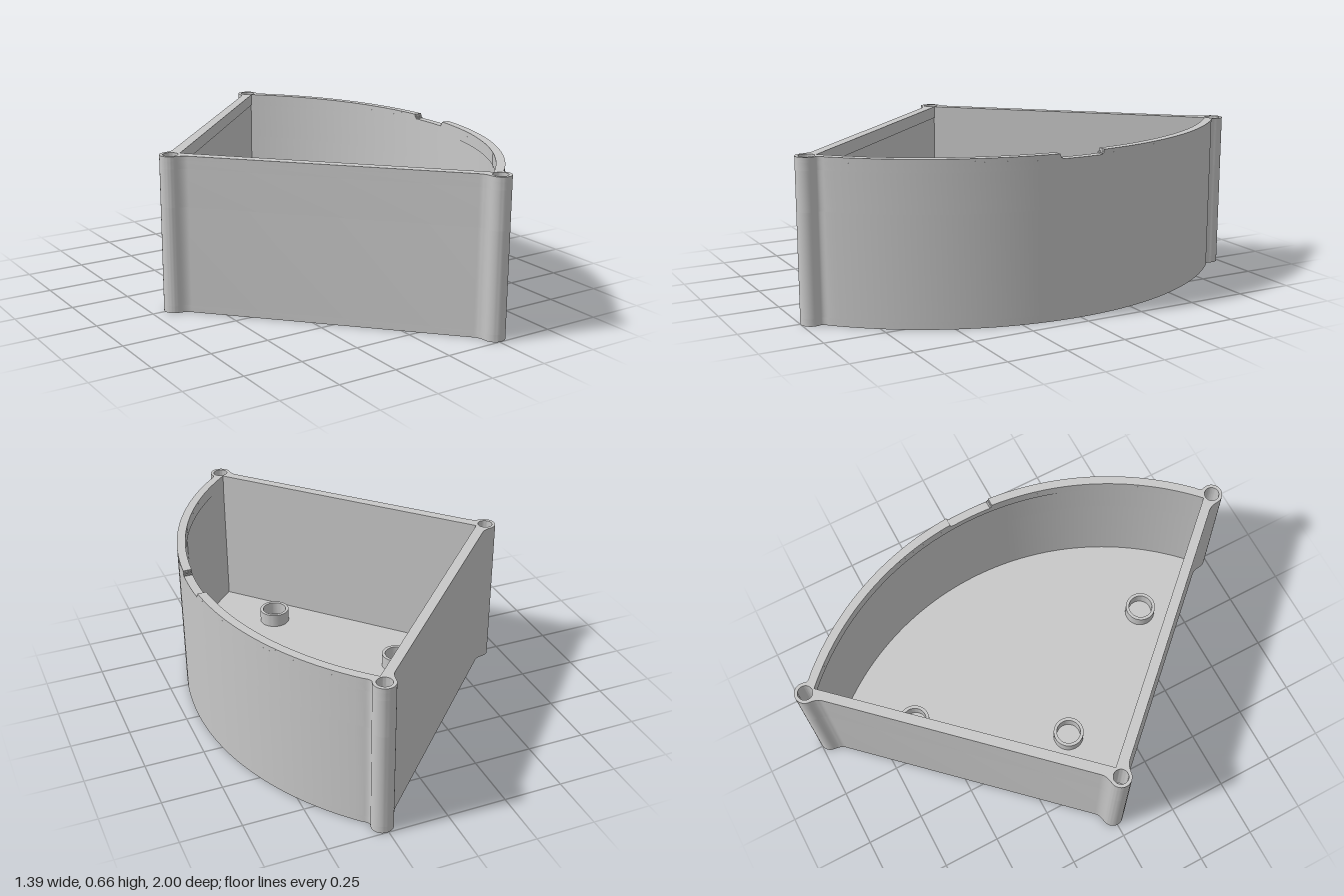
import * as THREE from 'three';
import { toCreasedNormals } from 'three/addons/utils/BufferGeometryUtils.js';

const V = (x, y) => new THREE.Vector2(x, y);
const APEX = V(-0.649, 0);                 // centre of the apex post
const CORNER = V(0.258, 0.955);            // centre of a corner post
const ARC_X = -0.588, R_OUT = 1.282, R_IN = 1.246;
const POST_R = 0.045, HOLE_R = 0.031;
const HEIGHT = 0.662, NOTCH = 0.1, NOTCH_DEPTH = 0.02;
const LENGTH = APEX.distanceTo(CORNER);
const DIR = CORNER.clone().sub(APEX).normalize();
const WALL = Math.atan2(DIR.y, DIR.x);
const FACE = 0.013;                        // outer wall face, outward of the post centres

// Point at distance s along the straight wall and o outward from it
const onWall = (s, o) => V(APEX.x + DIR.x * s - DIR.y * o, DIR.y * s + DIR.x * o);

function arc(cx, cy, r, from, to, n) {
  return Array.from({ length: n + 1 }, (_, i) => {
    const a = from + (to - from) * i / n;
    return V(cx + r * Math.cos(a), cy + r * Math.sin(a));
  });
}

const fillet = (a, b, c) => new THREE.QuadraticBezierCurve(a, b, c).getPoints(6).slice(1, -1);

// Half of the outer outline, from the apex to the curved wall at z = end
function outerHalf(end) {
  const deg = Math.PI / 180;
  const apex = arc(APEX.x, 0, POST_R, Math.PI, WALL + 50 * deg, 10);
  const corner = arc(CORNER.x, CORNER.y, POST_R, WALL + 130 * deg, -25 * deg, 20);
  const curve = arc(ARC_X, 0, R_OUT, Math.asin(0.905 / R_OUT), Math.asin(end / R_OUT), 32);
  const w0 = onWall(0.078, FACE), w1 = onWall(LENGTH - 0.078, FACE);
  return [
    ...apex, ...fillet(apex.at(-1), onWall(0.054, FACE), w0), w0,
    w1, ...fillet(w1, onWall(LENGTH - 0.054, FACE), corner[0]),
    ...corner, ...fillet(corner.at(-1), V(0.296, 0.922), curve[0]), ...curve,
  ];
}

// Half of the cavity outline, enlarged by g
function innerHalf(end, g) {
  const r = R_IN + g;
  return [V(-0.606 - g / DIR.y, 0),
    ...arc(ARC_X, 0, r, Math.atan2(0.915, 0.846) + g / r, Math.asin(end / r), 32)];
}

// Mirror a half outline, running from -z round the apex to +z
function mirrored(half, closed) {
  const other = half.slice(1, closed ? -1 : undefined).reverse().map(p => V(p.x, -p.y));
  return [...other, ...half];
}

function circlePath(x, z, r) {
  return new THREE.Path().absarc(x, z, r, 0, Math.PI * 2);
}

function slab(name, shape, y0, y1, material) {
  const geo = new THREE.ExtrudeGeometry(shape, { depth: y1 - y0, bevelEnabled: false, curveSegments: 24 });
  geo.rotateX(-Math.PI / 2);
  geo.translate(0, y0, 0);
  const mesh = new THREE.Mesh(toCreasedNormals(geo, 0.6), material);
  mesh.name = name;
  return mesh;
}

export function createModel() {
  const group = new THREE.Group();
  group.name = 'sectorBox';
  const grey = new THREE.MeshStandardMaterial({ color: 0xc8c8c8 });
  grey.name = 'grey plastic';

  const posts = [[APEX.x, 0], [CORNER.x, CORNER.y], [CORNER.x, -CORNER.y]];
  const drill = s => posts.forEach(([x, z]) => s.holes.push(circlePath(x, z, HOLE_R)));
  const outline = mirrored(outerHalf(0), true);
  const wallShape = (g, holes) => {
    const s = new THREE.Shape(outline);
    // The cavity runs opposite to the outline so its walls face inward
    s.holes.push(new THREE.Path(mirrored(innerHalf(0, g), true).reverse()));
    if (holes) drill(s);
    return s;
  };

  // Floor, walls and slightly thicker lip, with blind screw holes in the posts
  const rimBase = HEIGHT - NOTCH_DEPTH;
  group.add(slab('floor', new THREE.Shape(outline), 0, 0.03, grey));
  group.add(slab('lowerWall', wallShape(0.003, false), 0.03, 0.45, grey));
  group.add(slab('upperWall', wallShape(0.003, true), 0.45, 0.61, grey));
  group.add(slab('lip', wallShape(0, true), 0.61, rimBase, grey));

  // Rim, left open at the notch, whose lower corners are rounded in steps
  const steps = 4;
  for (let i = 0; i < steps; i++) {
    const t = (i + 0.5) / steps;
    const gap = NOTCH - NOTCH_DEPTH * (1 - Math.sqrt(1 - (1 - t) ** 2));
    const rim = new THREE.Shape([
      ...mirrored(outerHalf(gap), false),
      ...mirrored(innerHalf(gap, 0), false).reverse(),
    ]);
    drill(rim);
    const y = rimBase + NOTCH_DEPTH * i / steps;
    group.add(slab('rim', rim, y, y + NOTCH_DEPTH / steps, grey));
  }

  // Three low ring bosses on the floor
  for (const [x, z] of [[-0.238, 0], [0.138, 0.583], [0.138, -0.583]]) {
    const ring = new THREE.Shape().absarc(x, z, 0.067, 0, Math.PI * 2);
    ring.holes.push(circlePath(x, z, 0.053));
    group.add(slab('floorBoss', ring, 0.03, 0.09, grey));
  }
  return group;
}
